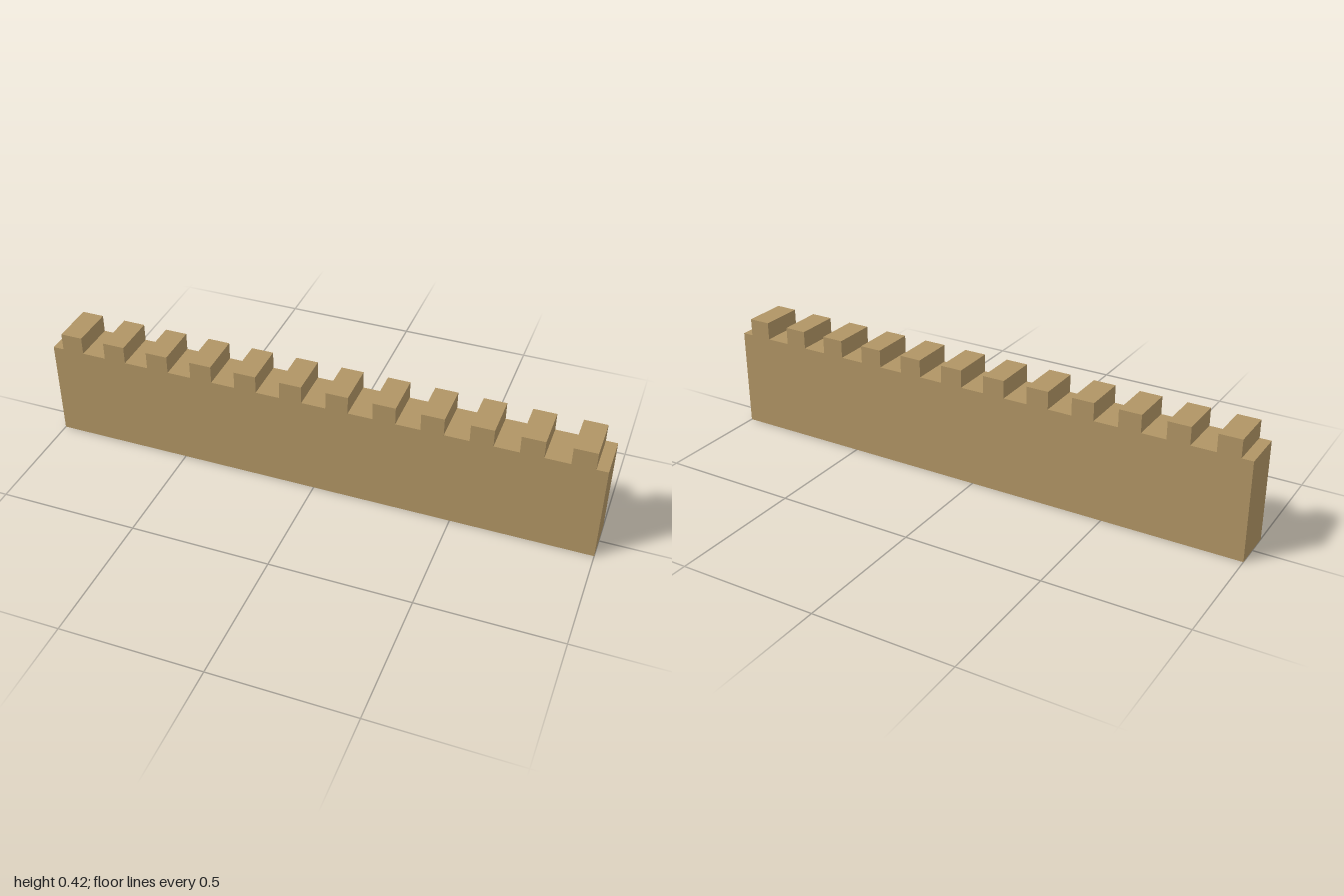
import * as THREE from 'three';

const LENGTH = 2, DEPTH = 0.16;
const WALL_TOP = 0.36, MERLON_TOP = 0.424;
const MERLONS = 12, MERLON_WIDTH = 0.08, FIRST_CENTRE = -0.92;

export function createModel() {
  const group = new THREE.Group();
  group.name = 'battlementWall';
  const stone = new THREE.MeshStandardMaterial({ color: 0xb09464, flatShading: true });

  // Crenellated outline: base, right end, then the merlons from right to left
  const outline = new THREE.Shape();
  outline.moveTo(-LENGTH / 2, 0);
  outline.lineTo(LENGTH / 2, 0);
  outline.lineTo(LENGTH / 2, WALL_TOP);
  const spacing = (-2 * FIRST_CENTRE) / (MERLONS - 1);
  for (let i = MERLONS - 1; i >= 0; i--) {
    const centre = FIRST_CENTRE + i * spacing;
    const right = centre + MERLON_WIDTH / 2, left = centre - MERLON_WIDTH / 2;
    outline.lineTo(right, WALL_TOP);
    outline.lineTo(right, MERLON_TOP);
    outline.lineTo(left, MERLON_TOP);
    outline.lineTo(left, WALL_TOP);
  }
  outline.lineTo(-LENGTH / 2, WALL_TOP);
  outline.closePath();

  // Wall and merlons as one solid, centred in depth
  const geometry = new THREE.ExtrudeGeometry(outline, { depth: DEPTH, bevelEnabled: false });
  geometry.translate(0, 0, -DEPTH / 2);
  const wall = new THREE.Mesh(geometry, stone);
  wall.name = 'crenellatedWall';
  group.add(wall);
  return group;
}
